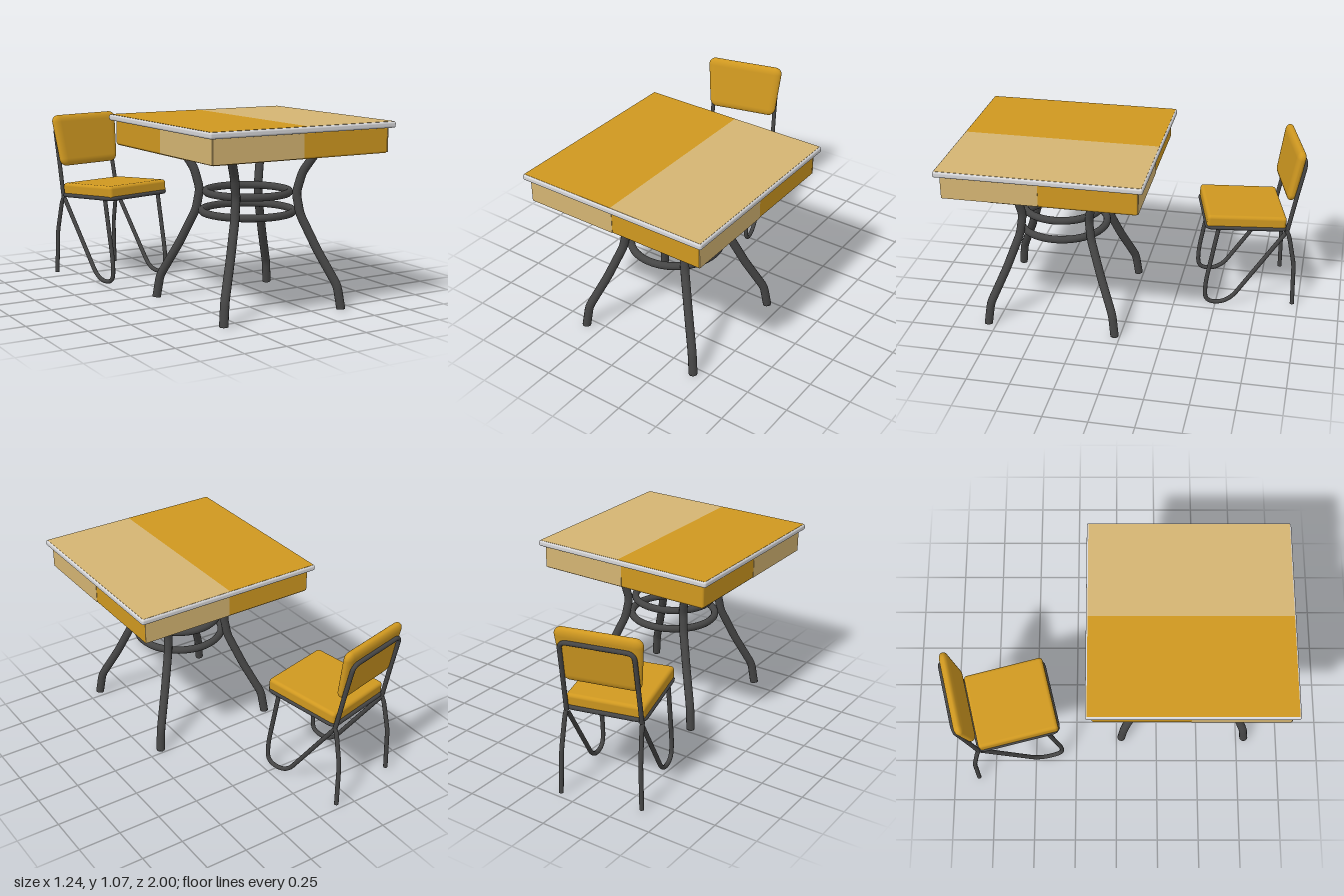
import * as THREE from 'three';
import { RoundedBoxGeometry } from 'three/addons/geometries/RoundedBoxGeometry.js';

const mat = (name, color) => Object.assign(new THREE.MeshStandardMaterial({ color }), { name });
const V = (x, y, z) => new THREE.Vector3(x, y, z);

export function createModel() {
  const gold = mat('gold', 0xcf9820);
  const tan = mat('tan', 0xd4b472);
  const steel = mat('darkSteel', 0x454545);
  const trim = mat('paleTrim', 0xd6d6d8);

  const add = (parent, name, geometry, material, x = 0, y = 0, z = 0) => {
    const mesh = new THREE.Mesh(geometry, material);
    mesh.name = name;
    mesh.position.set(x, y, z);
    parent.add(mesh);
    return mesh;
  };

  // Path of straight runs joined by rounded bends
  const bentPath = (pts, r, closed = false) => {
    const path = new THREE.CurvePath();
    const n = pts.length;
    const toward = (a, b) => a.clone().add(b.clone().sub(a).setLength(Math.min(r, a.distanceTo(b) * 0.49)));
    let from = closed ? toward(pts[0], pts[1]) : pts[0];
    for (let i = 1; i < (closed ? n + 1 : n - 1); i++) {
      const p = pts[i % n], before = toward(p, pts[i - 1]), after = toward(p, pts[(i + 1) % n]);
      path.add(new THREE.LineCurve3(from, before));
      path.add(new THREE.QuadraticBezierCurve3(before, p, after));
      from = after;
    }
    if (!closed) path.add(new THREE.LineCurve3(from, pts[n - 1]));
    return path;
  };
  const tube = (parent, name, pts, radius, bend, closed = false, segments = 56) =>
    add(parent, name, new THREE.TubeGeometry(bentPath(pts, bend, closed), segments, radius, 12, closed), steel);
  const footCap = (parent, x, z, r) => {
    add(parent, 'footCap', new THREE.CylinderGeometry(r, r, 0.006, 12), steel, x, 0.003, z);
  };

  const model = new THREE.Group();

  // ---- Table ----
  const table = new THREE.Group();
  table.name = 'table';
  table.position.set(0.035, 0, 0.415);
  model.add(table);

  add(table, 'tabletopEdge', new RoundedBoxGeometry(1.17, 0.035, 1.17, 3, 0.012), trim, 0, 1.0465, 0);
  const W = 1.152, split = 0.01;
  const leftW = W / 2 + split, rightW = W / 2 - split;
  add(table, 'tabletopGoldHalf', new THREE.BoxGeometry(leftW, 0.003, W), gold, split - leftW / 2, 1.0635, 0);
  add(table, 'tabletopTanHalf', new THREE.BoxGeometry(rightW, 0.003, W), tan, split + rightW / 2, 1.0635, 0);

  // Apron with a tan half panel on every side
  const A = 1.108;
  add(table, 'apron', new RoundedBoxGeometry(A, 0.145, A, 3, 0.012), gold, 0, 0.9625, 0);
  const sidePanels = [[0, -1], [Math.PI / 2, -1], [Math.PI, -1], [-Math.PI / 2, 1]];
  for (const [angle, side] of sidePanels) {
    const pivot = new THREE.Group();
    pivot.name = 'apronSide';
    pivot.rotation.y = angle;
    table.add(pivot);
    add(pivot, 'apronTanPanel', new THREE.BoxGeometry(0.552, 0.136, 0.004), tan, side * 0.276, 0.963, A / 2);
  }
  add(table, 'apronUnderside', new THREE.BoxGeometry(1.09, 0.004, 0.825), tan, 0, 0.89, -0.1325);

  // Splayed legs, pinched in at the rings: [distance along x and z, height]
  const legProfile = [[0.384, 0], [0.368, 0.13], [0.285, 0.33], [0.214, 0.53], [0.198, 0.65], [0.222, 0.77], [0.29, 0.91]];
  for (const sx of [-1, 1]) for (const sz of [-1, 1]) {
    tube(table, 'tableLeg', legProfile.map(([d, y]) => V(sx * d, y, sz * d)), 0.025, 0.03);
    footCap(table, sx * 0.384, sz * 0.384, 0.025);
  }
  for (const [r, y] of [[0.236, 0.648], [0.258, 0.537]]) {
    add(table, 'legRing', new THREE.TorusGeometry(r, 0.022, 12, 56).rotateX(Math.PI / 2), steel, 0, y, 0);
  }

  // ---- Chair ----
  const chair = new THREE.Group();
  chair.name = 'chair';
  chair.position.set(-0.31, 0, -0.64);
  chair.rotation.y = 0.24;
  model.add(chair);

  // Seat tilted slightly back
  const seat = new THREE.Group();
  seat.name = 'seat';
  seat.position.set(0, 0.556, 0.023);
  seat.rotation.x = -0.06;
  chair.add(seat);
  add(seat, 'seatCushion', new RoundedBoxGeometry(0.452, 0.08, 0.475, 4, 0.02), gold);
  tube(seat, 'seatFrame', [V(-0.222, -0.036, 0.234), V(0.222, -0.036, 0.234), V(0.222, -0.036, -0.24), V(-0.222, -0.036, -0.24)],
    0.013, 0.035, true, 96);

  // Backrest with soft corners, widening upward
  const back = new RoundedBoxGeometry(0.468, 0.322, 0.1, 6, 0.044).scale(1, 1, 0.55);
  const p = back.attributes.position;
  for (let i = 0; i < p.count; i++) p.setX(i, p.getX(i) * (1 + 0.4 * p.getY(i)));
  add(chair, 'backrest', back, gold, 0, 0.845, -0.258).rotation.x = -0.17;

  // Hoop behind the backrest
  tube(chair, 'backFrame', [V(-0.216, 0.495, -0.222), V(-0.212, 0.7, -0.262), V(-0.208, 0.93, -0.31),
    V(0.208, 0.93, -0.31), V(0.212, 0.7, -0.262), V(0.216, 0.495, -0.222)], 0.013, 0.045, false, 110);

  for (const s of [-1, 1]) {
    // Hairpin front leg running back up to the rear of the seat
    tube(chair, 'hairpinLeg', [V(s * 0.212, 0.52, 0.19), V(s * 0.212, 0.13, 0.262), V(s * 0.212, 0.013, 0.255),
      V(s * 0.212, 0.013, 0.115), V(s * 0.212, 0.49, -0.222)], 0.013, 0.085, false, 80);
    tube(chair, 'rearLeg', [V(s * 0.216, 0.5, -0.215), V(s * 0.22, 0.46, -0.235), V(s * 0.228, 0.27, -0.272),
      V(s * 0.236, 0, -0.277)], 0.013, 0.03);
    footCap(chair, s * 0.236, -0.277, 0.013);
  }

  return model;
}
